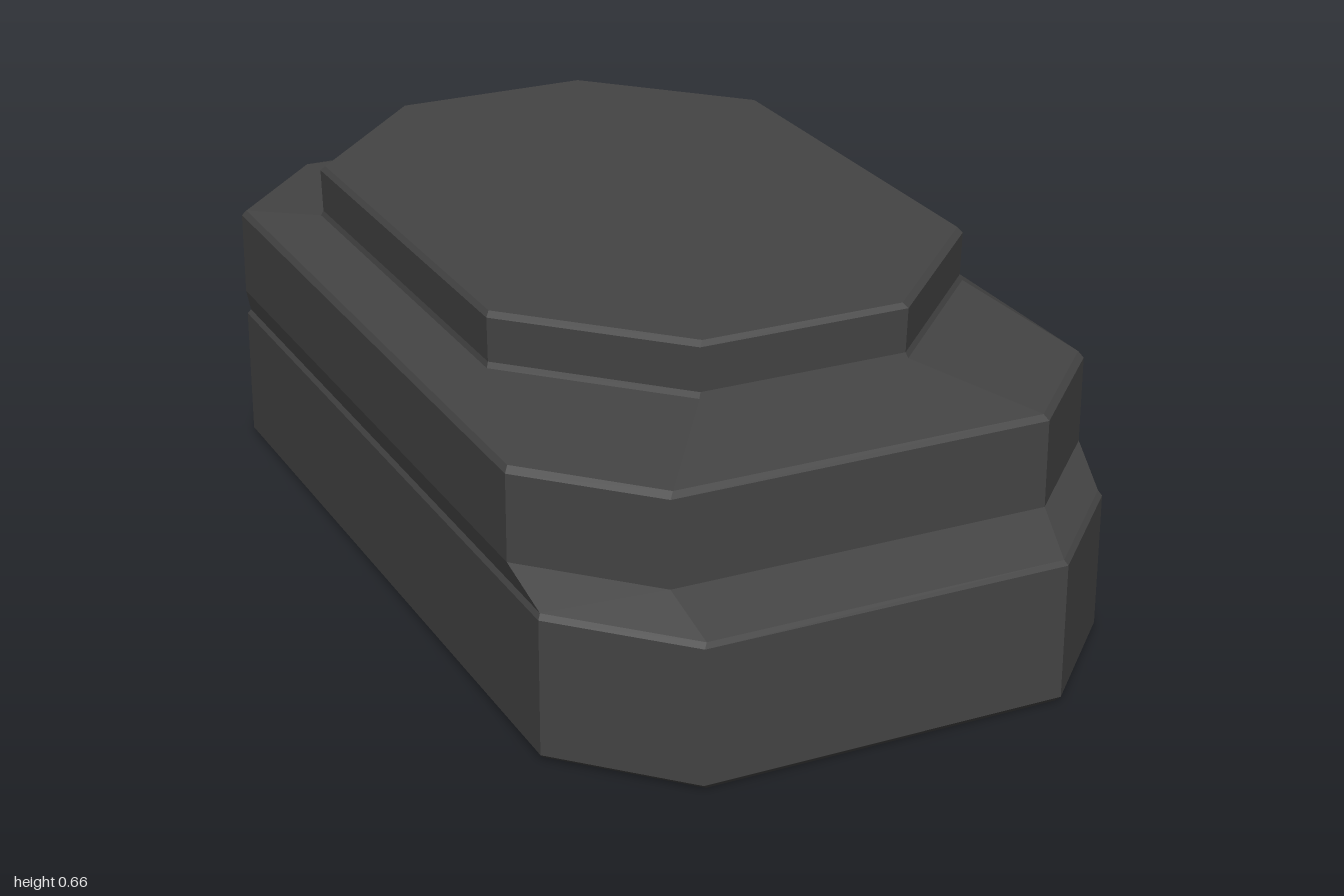
import * as THREE from 'three';

// Octagonal cross-section, counter-clockwise seen from above.
// box = [left, right, back, front], cut = corner size, inset = edge bevel
function ring(y, [l, r, b, f], [cx, cz], inset = 0) {
  const x0 = l + inset, x1 = r - inset, z0 = b + inset, z1 = f - inset;
  return [
    [x1, z1 - cz], [x1, z0 + cz], [x1 - cx, z0], [x0 + cx, z0],
    [x0, z0 + cz], [x0, z1 - cz], [x0 + cx, z1], [x1 - cx, z1],
  ].map(([x, z]) => [x, y, z]);
}

// Flat-faced skin through a stack of rings, with optional end caps
function loft(name, rings, material, capBottom, capTop) {
  const pos = [];
  const tri = (...pts) => pts.forEach((p) => pos.push(...p));
  for (let k = 0; k < rings.length - 1; k++) {
    const a = rings[k], b = rings[k + 1];
    for (let i = 0; i < 8; i++) {
      const j = (i + 1) % 8;
      tri(a[i], a[j], b[j]);
      tri(a[i], b[j], b[i]);
    }
  }
  const bottom = rings[0], top = rings[rings.length - 1];
  for (let i = 1; i < 7; i++) {
    if (capBottom) tri(bottom[0], bottom[i + 1], bottom[i]);
    if (capTop) tri(top[0], top[i], top[i + 1]);
  }
  const geo = new THREE.BufferGeometry();
  geo.setAttribute('position', new THREE.Float32BufferAttribute(pos, 3));
  geo.computeVertexNormals();
  const mesh = new THREE.Mesh(geo, material);
  mesh.name = name;
  return mesh;
}

export function createModel() {
  const group = new THREE.Group();
  group.name = 'steppedBlock';
  const charcoal = new THREE.MeshStandardMaterial({ color: 0x444444, flatShading: true });
  charcoal.name = 'charcoal';

  // Outline and corner size of each tier
  const low = [-0.595, 0.567, -1, 1], mid = [-0.598, 0.595, -0.993, 0.87], high = [-0.485, 0.533, -0.883, 0.597];
  const cut = [0.215, 0.22], highCut = [0.292, 0.295];

  const ledge = ring(0.335, mid, cut);
  const shoulder = ring(0.552, high, highCut);

  // Base tier with bevelled foot and sloping ledge
  group.add(loft('baseTier', [
    ring(0, low, cut, 0.008), ring(0.01, low, cut),
    ring(0.28, low, cut), ring(0.29, low, cut, 0.006), ledge,
  ], charcoal, true, false));

  // Middle tier with sloping shoulder
  group.add(loft('middleTier', [
    ledge, ring(0.508, mid, cut), ring(0.52, mid, cut, 0.008), shoulder,
  ], charcoal, false, false));

  // Top tier with bevelled rim
  group.add(loft('topTier', [
    shoulder, ring(0.563, high, highCut, 0.004),
    ring(0.652, high, highCut, 0.002), ring(0.662, high, highCut, 0.01),
  ], charcoal, false, true));

  return group;
}
